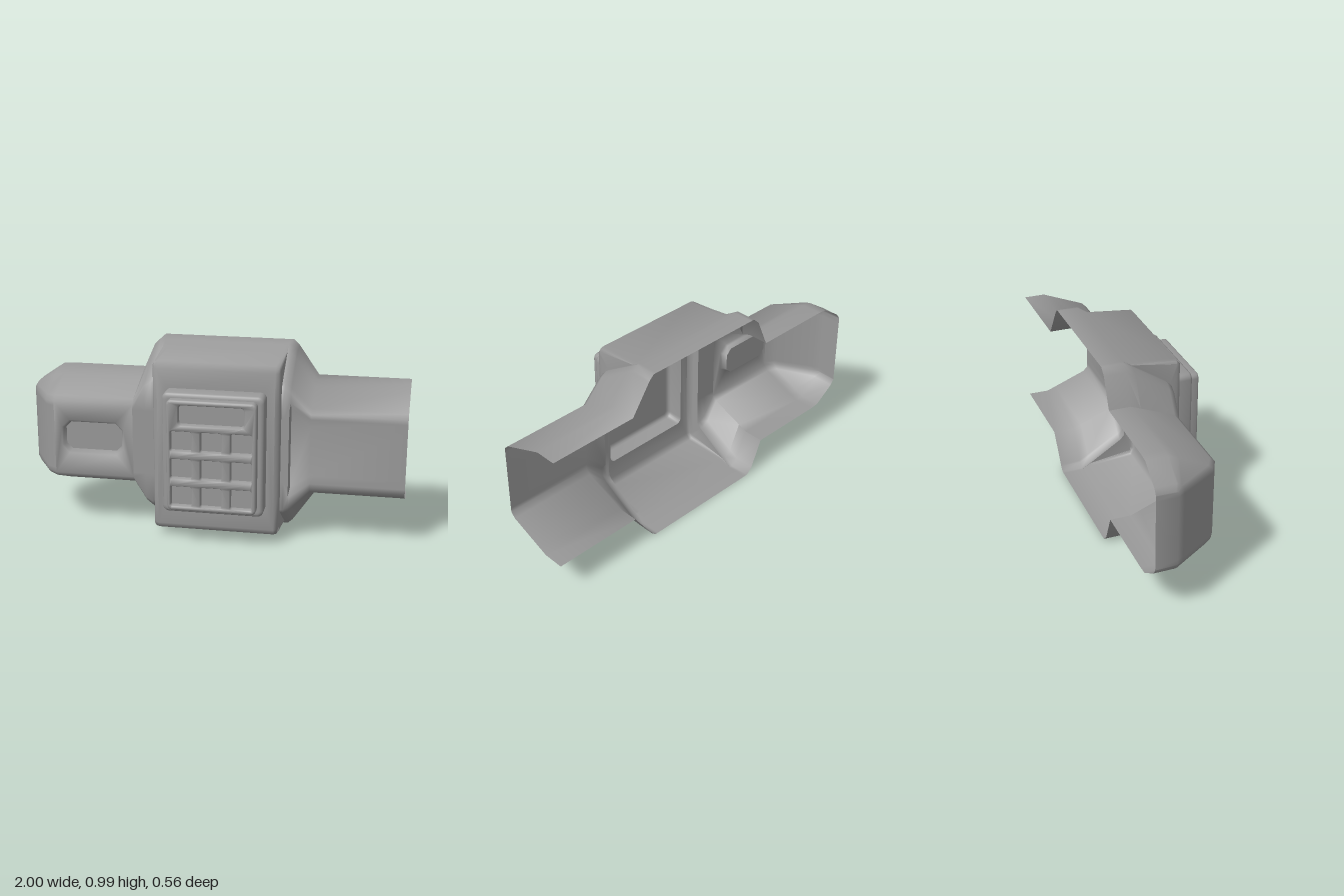
import * as THREE from 'three';
import { mergeGeometries, toCreasedNormals } from 'three/addons/utils/BufferGeometryUtils.js';

const MID = 0.4925; // height of the mirror line
const material = new THREE.MeshStandardMaterial({ color: 0x999999, side: THREE.DoubleSide });

// Joins the pieces of a part and smooths all but its steep edges.
// Creasing welds points on a coarse grid, so it is done at a larger scale.
function addMesh(parent, name, ...pieces) {
  const merged = mergeGeometries(pieces).scale(100, 100, 100);
  const mesh = new THREE.Mesh(toCreasedNormals(merged, 1.1).scale(0.01, 0.01, 0.01), material);
  mesh.name = name;
  parent.add(mesh);
}

// Joins successive rings of points with quads; skip(i, j) leaves openings.
function skin(rings, closed, skip = () => false) {
  const pos = [];
  const n = rings[0].length;
  const tri = (a, b, c) => {
    const area = new THREE.Triangle(a, b, c).getArea();
    if (area > 1e-8) for (const p of [a, b, c]) pos.push(p.x, p.y, p.z);
  };
  for (let i = 0; i < rings.length - 1; i++) {
    for (let j = 0; j < (closed ? n : n - 1); j++) {
      if (skip(i, j)) continue;
      const k = (j + 1) % n;
      tri(rings[i][j], rings[i][k], rings[i + 1][j]);
      tri(rings[i][k], rings[i + 1][k], rings[i + 1][j]);
    }
  }
  const g = new THREE.BufferGeometry();
  g.setAttribute('position', new THREE.Float32BufferAttribute(pos, 3));
  return g;
}

// Rounded rectangle outline, counter-clockwise; one segment gives a chamfer.
function outline({ x0, x1, y0, y1, r, seg = 5 }, inset = 0) {
  const pts = [];
  const rad = Math.max(r - inset * 0.6, 0.004);
  const corners = [[x1, y1, -1, -1], [x0, y1, 1, -1], [x0, y0, 1, 1], [x1, y0, -1, 1]];
  corners.forEach(([x, y, sx, sy], q) => {
    for (let i = 0; i <= seg; i++) {
      const a = (q + i / seg) * Math.PI / 2;
      pts.push(new THREE.Vector2(
        x + sx * (inset + rad) + Math.cos(a) * rad,
        y + sy * (inset + rad) + Math.sin(a) * rad));
    }
  });
  return pts;
}

// Flat face at depth z, pierced by holes.
function panel(points, z, holes = []) {
  const shape = new THREE.Shape(points);
  shape.holes = holes.map((h) => new THREE.Path(h));
  const g = new THREE.ShapeGeometry(shape).translate(0, 0, z).toNonIndexed();
  g.deleteAttribute('normal');
  g.deleteAttribute('uv');
  return g;
}

// Wall around a rounded rectangle through [inset, z] steps.
function wall(rect, steps) {
  return skin(steps.map(([inset, z]) =>
    outline(rect, inset).map((p) => new THREE.Vector3(p.x, p.y, z))), true);
}

// Full cross-section at x from half-profile points [z, half height].
function section(x, half) {
  const top = half.map(([z, h]) => new THREE.Vector3(x, MID + h, z));
  const bottom = half.map(([z, h]) => new THREE.Vector3(x, MID - h, z)).reverse();
  return [...top, ...bottom];
}

// Strap profile, flared outwards by o, with an optional dent in its front.
function strap(x, o = 0, dentHalf = 0.17, dentZ = 0.08) {
  return section(x, [
    [-0.28, 0.31 + o], [-0.17, 0.31 + o], [-0.12, 0.29 + 0.933 * o],
    [0.055, 0.22 + 0.7 * o], [0.08, 0.195 + 0.7 * o],
    [0.08, dentHalf], [dentZ, dentHalf - 0.04]]);
}

// Raised central housing profile.
function housing(x, frontZ, trim) {
  return section(x, [
    [-0.28, MID], [-0.17, MID], [-0.12, 0.462],
    [0.115, 0.447 - trim], [frontZ, 0.415 - trim / 2], [frontZ, 0.24], [frontZ, 0.22]]);
}

export function createModel() {
  const model = new THREE.Group();
  model.name = 'wristDevice';

  // Open-backed shell: closed end, strap, flare, housing, flare, open strap
  const endHalf = [0.2, 0.2, 0.199, 0.198, 0.195, 0.17, 0.13];
  const endZ = [-0.28, -0.185, -0.18, -0.175, -0.17, -0.17, -0.17];
  const rings = [
    section(-1, endHalf.map((h) => [-0.28, h])),
    section(-1, endHalf.map((h, i) => [endZ[i], h])),
    section(-0.98, [[-0.28, 0.23], [-0.175, 0.23], [-0.165, 0.227],
      [-0.15, 0.213], [-0.136, 0.195], [-0.136, 0.17], [-0.136, 0.13]]),
    section(-0.87, [[-0.28, 0.305], [-0.17, 0.305], [-0.12, 0.285],
      [0.025, 0.215], [0.05, 0.19], [0.05, 0.17], [0.05, 0.13]]),
    strap(-0.82), strap(-0.4), strap(-0.335, 0.15), strap(-0.3, 0.1825), strap(-0.28, 0.1825),
    housing(-0.28, 0.115, 0.02), housing(-0.272, 0.133, 0.006), housing(-0.255, 0.14, 0),
    housing(0.345, 0.14, 0), housing(0.362, 0.133, 0.006), housing(0.37, 0.115, 0.02),
    strap(0.37, 0.1825), strap(0.385, 0.1825), strap(0.41, 0.16, 0.25),
    strap(0.417, 0.15, 0.25, 0.05), strap(0.52), strap(1),
  ];
  // The strap and housing fronts are filled with pierced panels
  const skip = (i, j) => (i === 4 || i === 11) && j >= 4 && j <= 8;
  const rect = (x0, x1, h) => [[x0, MID - h], [x1, MID - h], [x1, MID + h], [x0, MID + h]]
    .map(([x, y]) => new THREE.Vector2(x, y));
  const windowRect = { x0: -0.78, x1: -0.45, y0: 0.41, y1: 0.59, r: 0.04, seg: 1 };
  const baseRect = { x0: -0.21, x1: 0.305, y0: 0.18, y1: 0.808, r: 0.03 };
  addMesh(model, 'shell', skin(rings, false, skip),
    panel(rect(-0.82, -0.4, 0.195), 0.08, [outline(windowRect)]),
    panel(rect(-0.255, 0.345, 0.415), 0.14, [outline(baseRect)]),
    wall(windowRect, [[0, 0.08], [0.01, 0.07], [0.015, 0.045]]));
  addMesh(model, 'strapWindow', panel(outline(windowRect, 0.015), 0.045));

  // Hollow keypad base
  addMesh(model, 'keypadBase',
    wall(baseRect, [[0, 0.14], [0, 0.218], [0.005, 0.228], [0.016, 0.233], [0.025, 0.233]]));
  addMesh(model, 'keypadBaseFront', panel(outline(baseRect, 0.025), 0.233));

  // Keypad frame holding a display and a three by three block of keys
  const frameRect = { x0: -0.178, x1: 0.275, y0: 0.207, y1: 0.785, r: 0.025 };
  const cells = [{ name: 'display', x0: -0.122, x1: 0.217, y0: 0.655, y1: 0.765, r: 0.02 }];
  for (let row = 0; row < 3; row++) {
    for (let col = 0; col < 3; col++) {
      const x0 = -0.163 + col * 0.152;
      const y0 = 0.228 + row * 0.145;
      cells.push({ name: 'key', x0, x1: x0 + 0.116, y0, y1: y0 + 0.112, r: 0.012 });
    }
  }
  addMesh(model, 'keypadFrame',
    wall(frameRect, [[0, 0.233], [0, 0.27], [0.003, 0.277], [0.01, 0.28]]),
    panel(outline(frameRect, 0.01), 0.28, cells.map((c) => outline(c))),
    ...cells.map((c) => wall(c, [[0, 0.28], [0.004, 0.275], [0.007, 0.255]])));
  for (const cell of cells) addMesh(model, cell.name, panel(outline(cell, 0.007), 0.255));
  return model;
}
